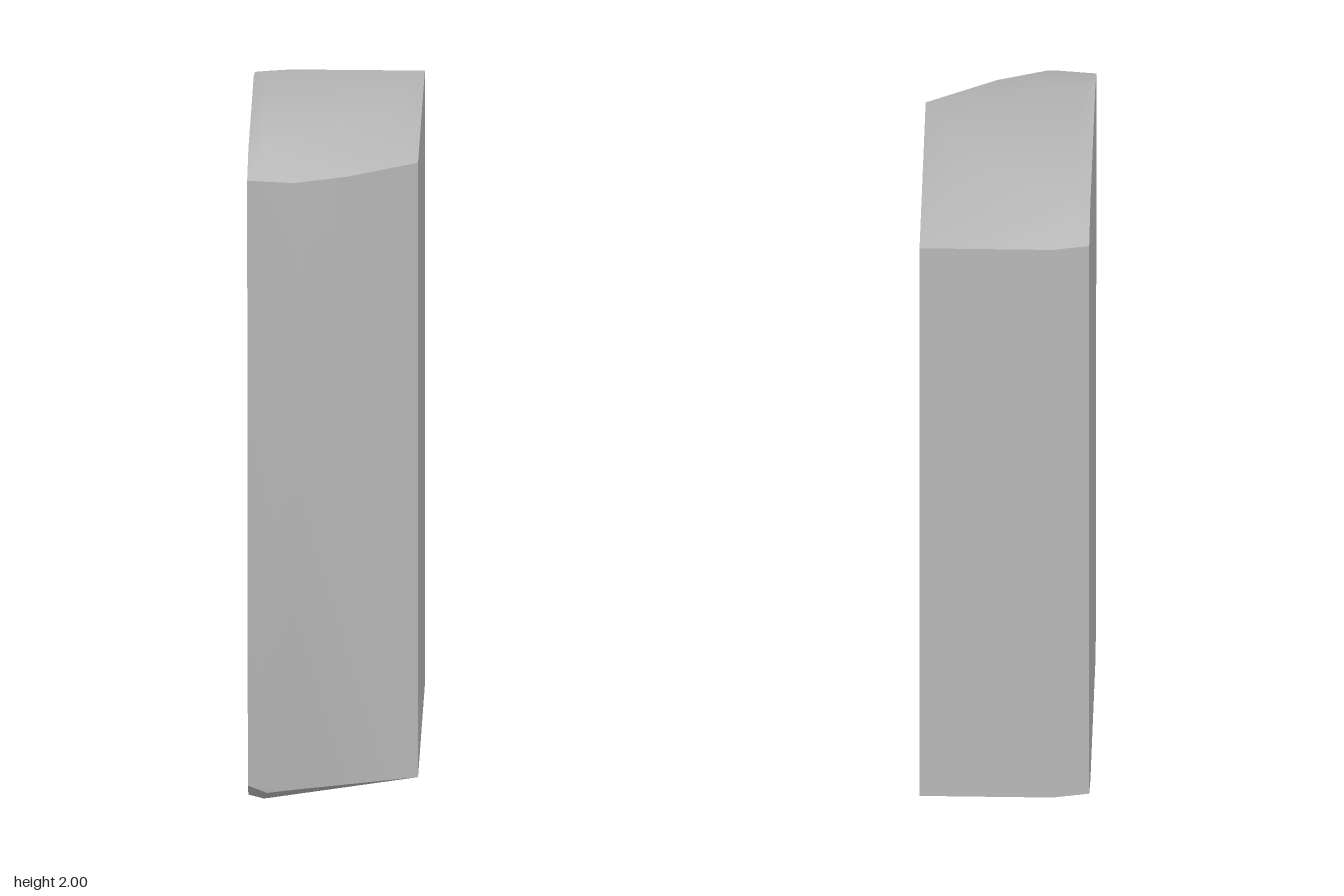
import * as THREE from 'three';
import { ConvexGeometry } from 'three/addons/geometries/ConvexGeometry.js';
import { toCreasedNormals } from 'three/addons/utils/BufferGeometryUtils.js';

export function createModel() {
  const model = new THREE.Group();
  model.name = 'stoneBlock';
  const stone = new THREE.MeshStandardMaterial({ color: 0xb8b8b8 });
  stone.name = 'grey stone';

  const points = [];
  const add = (x, y, z) => points.push(new THREE.Vector3(x, y, z));

  // flat cap, side corners and back corners, mirrored top and bottom
  for (const [rim, cap] of [[1.945, 2], [0.06, 0]]) {
    add(-0.245, rim, -0.45);
    add(-0.14, rim, -0.473);
    add(0.243, rim, -0.473);
    add(0.243, rim, 0.293);
    add(-0.245, cap === 2 ? 1.992 : 0.008, -0.3);
    add(-0.21, cap, -0.31);
    add(0.145, cap, 0);
    add(-0.2, cap, 0.32);
    add(-0.245, cap === 2 ? 1.992 : 0.008, 0.31);
  }

  // bulging upper front, upright down to a shoulder
  for (const y of [1.945, 1.75]) {
    add(0.04, y, 0.415);
    add(-0.105, y, 0.469);
    add(-0.13, y, 0.469);
  }
  add(-0.245, 1.945, 0.456);

  // receding front foot
  add(-0.245, 0.06, 0.376);
  add(-0.19, 0.035, 0.368);
  add(-0.11, 0.045, 0.366);

  // soft facets within each side, sharp edges between the sides
  const geometry = toCreasedNormals(new ConvexGeometry(points), 0.6);
  const block = new THREE.Mesh(geometry, stone);
  block.name = 'block';
  model.add(block);
  return model;
}
